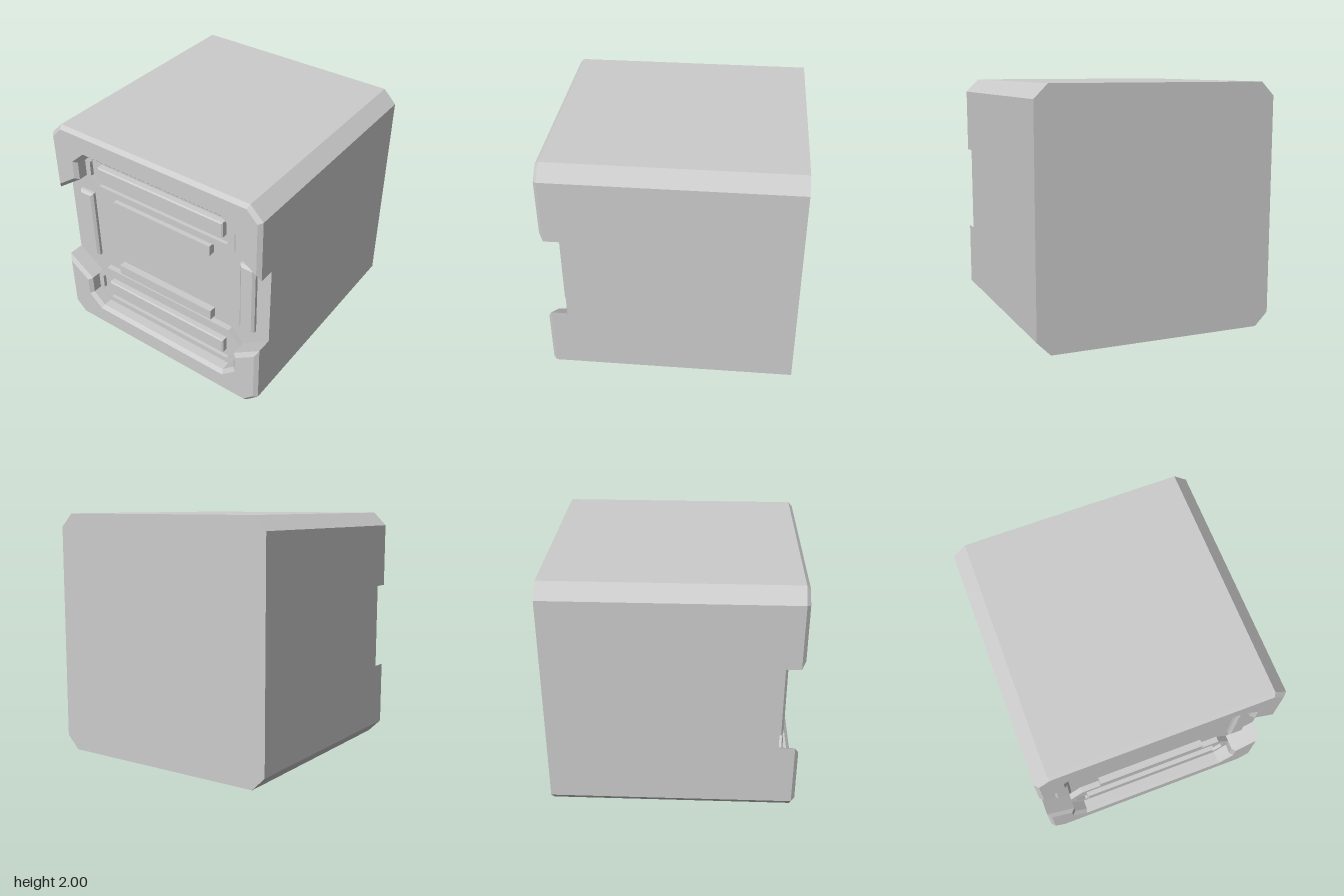
import * as THREE from 'three';

const FLOOR = 0.84; // depth of the sunken front face
const material = new THREE.MeshStandardMaterial({ color: 0xcccccc, flatShading: true });

// Offset a counter-clockwise outline inwards with mitred corners
function inset(points, d) {
  const count = points.length;
  const normal = (a, b) => new THREE.Vector2(a.y - b.y, b.x - a.x).normalize();
  return points.map((p, i) => {
    const n1 = normal(points[(i + count - 1) % count], p);
    const n2 = normal(p, points[(i + 1) % count]);
    return n1.clone().add(n2).multiplyScalar(d / (1 + n1.dot(n2))).add(p);
  });
}

// Solid along z through matching outlines, closed at the front and optionally at the back
function loft(rings, closeBack = false) {
  const position = [];
  const add = (p, z) => position.push(p.x, p.y, z);
  for (let r = 0; r < rings.length - 1; r++) {
    const [a, za] = rings[r];
    const [b, zb] = rings[r + 1];
    a.forEach((_, i) => {
      const j = (i + 1) % a.length;
      add(a[i], za); add(a[j], za); add(b[j], zb);
      add(a[i], za); add(b[j], zb); add(b[i], zb);
    });
  }
  const cap = ([points, z], flip) => {
    for (const [i, j, k] of THREE.ShapeUtils.triangulateShape(points, [])) {
      for (const v of flip ? [i, k, j] : [i, j, k]) add(points[v], z);
    }
  };
  cap(rings[rings.length - 1], false);
  if (closeBack) cap(rings[0], true);
  const geometry = new THREE.BufferGeometry();
  geometry.setAttribute('position', new THREE.Float32BufferAttribute(position, 3));
  geometry.computeVertexNormals();
  return geometry;
}

// Block on the front with a chamfered front rim
function chamfered(points, back, front, size) {
  return loft([[points, back], [points, front - size], [inset(points, size), front]]);
}

const outline = (pairs) => pairs.map(([x, y]) => new THREE.Vector2(x, y));

const rectangle = (x0, x1, y0, y1) => outline([[x0, y0], [x1, y0], [x1, y1], [x0, y1]]);

// Rectangle with cut corners
const octagon = (w, y0, y1, cx, cy) => outline([
  [w, y0 + cy], [w, y1 - cy], [w - cx, y1], [cx - w, y1],
  [-w, y1 - cy], [-w, y0 + cy], [cx - w, y0], [w - cx, y0],
]);

// Mirror an outline about mid height, keeping its winding
const flipY = (points) => points.map((p) => new THREE.Vector2(p.x, 2 - p.y)).reverse();

export function createModel() {
  const group = new THREE.Group();
  const add = (name, geometry) => {
    const mesh = new THREE.Mesh(geometry, material);
    mesh.name = name;
    group.add(mesh);
  };

  // Main block
  const body = octagon(1, 0, 2, 0.11, 0.11);
  add('body', loft([[body, -1], [body, FLOOR]], true));

  // Front parts, each made for the top and mirrored for the bottom
  const plate = outline([
    [1, 1.36], [1, 1.89], [0.89, 2], [-0.89, 2], [-1, 1.89], [-1, 1.36],
    [-0.76, 1.53], [-0.76, 1.69], [-0.65, 1.79], [0.65, 1.79], [0.76, 1.69], [0.76, 1.53],
  ]);
  const frame = octagon(0.76, 1.41, 1.79, 0.11, 0.12);
  const panel = octagon(0.71, 1.47, 1.74, 0.08, 0.07);
  const bar = rectangle(-0.61, 0.61, 1.535, 1.67);
  const strip = rectangle(-0.48, 0.48, 1.29, 1.38);

  for (const [side, place] of [['upper', (p) => p], ['lower', flipY]]) {
    add(side + 'FrontPlate', chamfered(place(plate), FLOOR, 1, 0.03));

    // Raised frame around a shallow recess
    const frameShape = new THREE.Shape(place(frame));
    frameShape.holes.push(new THREE.Path(place(panel)));
    const frameGeometry = new THREE.ExtrudeGeometry(frameShape, { depth: 0.05, bevelEnabled: false });
    add(side + 'Frame', frameGeometry.translate(0, 0, FLOOR));
    add(side + 'Panel', loft([[place(panel), FLOOR], [place(panel), 0.86]]));

    add(side + 'Bar', chamfered(place(bar), 0.86, 0.915, 0.01));
    add(side + 'Strip', loft([[place(strip), FLOOR], [place(strip), 0.9]]));
  }

  // Upright bars on the left and right
  for (const [side, x] of [['left', 0.81], ['right', -0.81]]) {
    add(side + 'UprightBar', chamfered(rectangle(x - 0.07, x + 0.07, 0.675, 1.33), FLOOR, 0.885, 0.02));
  }

  return group;
}
